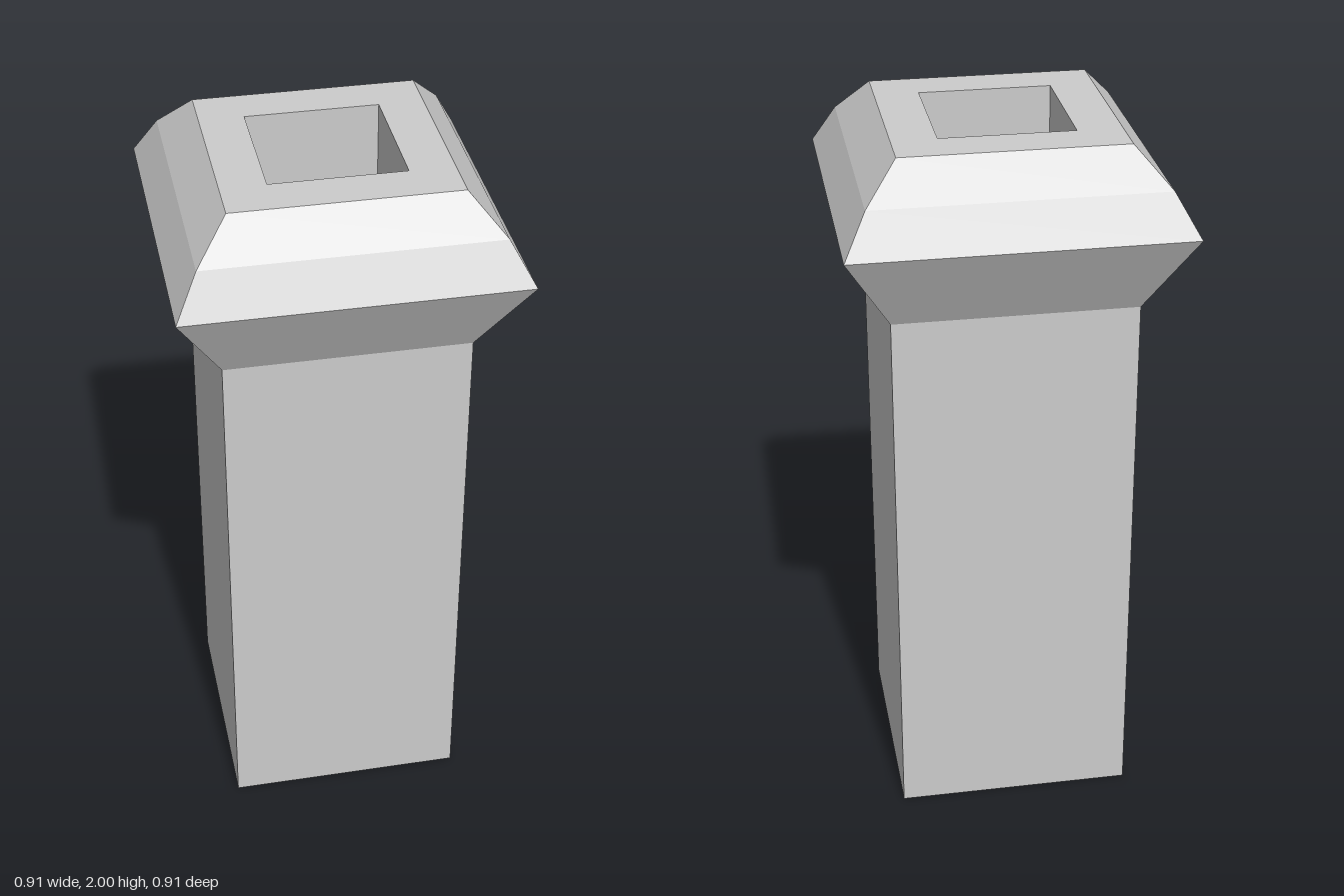
import * as THREE from 'three';

const material = new THREE.MeshStandardMaterial({
  color: 0xcccccc, flatShading: true, side: THREE.DoubleSide,
});

// Sweeps a profile of [half-width, height] pairs around a square plan
function squarePart(name, profile) {
  const points = profile.map(([half, y]) => new THREE.Vector2(half * Math.SQRT2, y));
  const mesh = new THREE.Mesh(new THREE.LatheGeometry(points, 4, Math.PI / 4), material);
  mesh.name = name;
  return mesh;
}

export function createModel() {
  const model = new THREE.Group();
  model.name = 'squareChimney';

  // Tall hollow shaft, open at the bottom
  model.add(squarePart('shaft', [[0.332, 0], [0.332, 1.556]]));

  // Flared cap with a two-step bevel and a flat rim
  model.add(squarePart('cap', [
    [0.332, 1.556], [0.457, 1.786], [0.394, 1.9], [0.304, 2], [0.182, 2],
  ]));

  // Square opening sunk into the cap, closed by a floor
  model.add(squarePart('flue', [[0.182, 2], [0.182, 1.55], [0, 1.55]]));

  return model;
}
